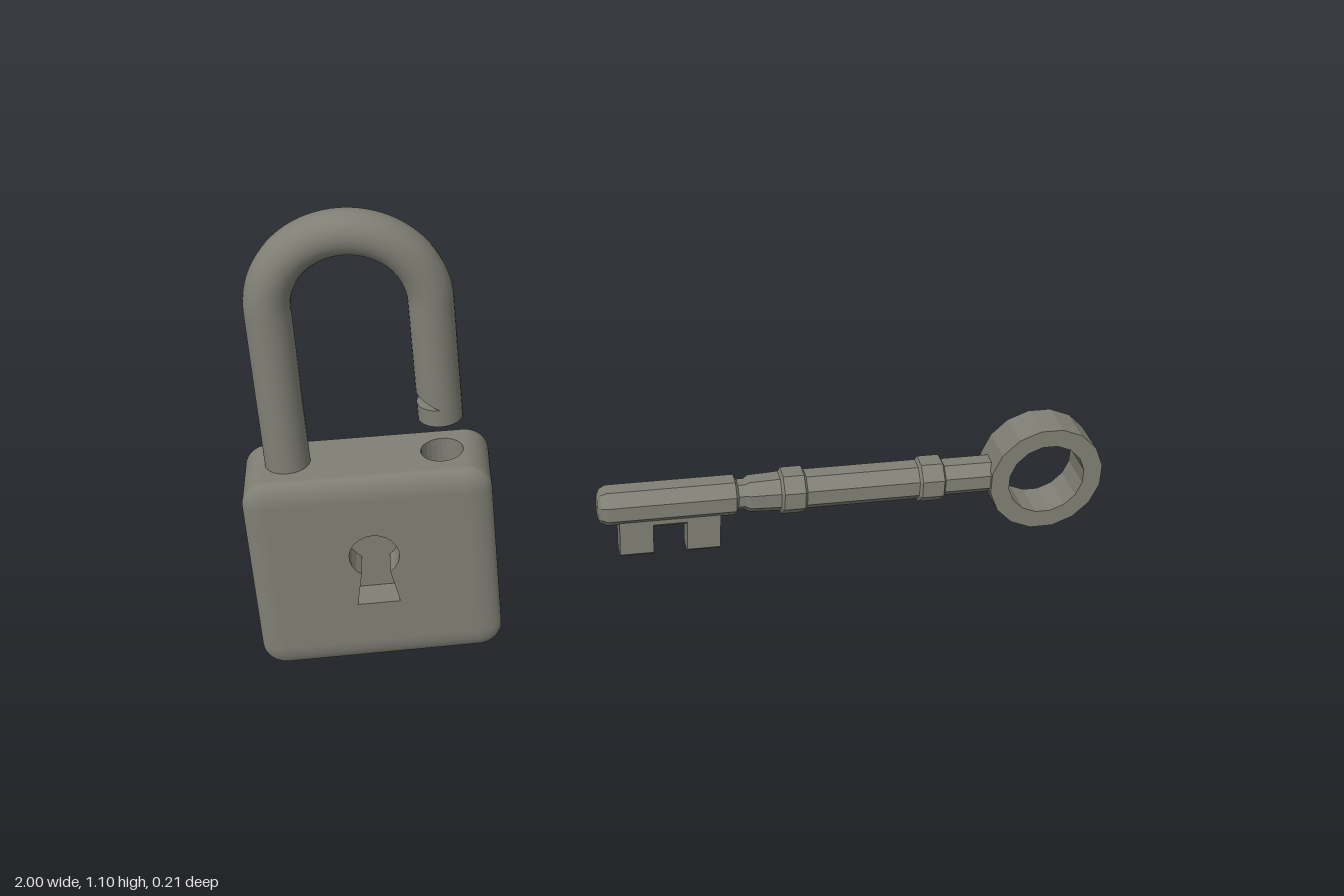
import * as THREE from 'three';
import { RoundedBoxGeometry } from 'three/addons/geometries/RoundedBoxGeometry.js';

const metal = new THREE.MeshStandardMaterial({ color: 0x7f7f75 });
metal.name = 'grey metal';

function add(parent, name, geometry, x = 0, y = 0, z = 0) {
  const mesh = new THREE.Mesh(geometry, metal);
  mesh.name = name;
  mesh.position.set(x, y, z);
  parent.add(mesh);
  return mesh;
}

function flat(geometry) {
  const g = geometry.index ? geometry.toNonIndexed() : geometry;
  g.computeVertexNormals();
  return g;
}

// Rounded shell with its flat top and flat front left open for the pierced panels
function openShell(w, h, d, radius) {
  const box = new RoundedBoxGeometry(w, h, d * 2, 5, radius);
  box.scale(1, 1, 0.5);
  const p = box.attributes.position, n = box.attributes.normal;
  const pos = [], nor = [];
  for (let i = 0; i < p.count; i += 3) {
    const ids = [i, i + 1, i + 2];
    if (ids.every(k => p.getZ(k) > d / 2 - 1e-5)) continue;
    if (ids.every(k => p.getY(k) > h / 2 - 1e-5)) continue;
    for (const k of ids) {
      pos.push(p.getX(k), p.getY(k), p.getZ(k));
      nor.push(n.getX(k), n.getY(k), n.getZ(k));
    }
  }
  const g = new THREE.BufferGeometry();
  g.setAttribute('position', new THREE.Float32BufferAttribute(pos, 3));
  g.setAttribute('normal', new THREE.Float32BufferAttribute(nor, 3));
  return g;
}

// Flat panel with a hole, plus the walls and floor of the recess behind it
function piercedPanel(name, halfW, halfH, outline, depth) {
  const group = new THREE.Group();
  group.name = name;
  const panel = new THREE.Shape([[-1, -1], [1, -1], [1, 1], [-1, 1]]
    .map(([x, y]) => new THREE.Vector2(x * halfW, y * halfH)));
  panel.holes.push(new THREE.Path(outline));
  add(group, name + 'Panel', new THREE.ShapeGeometry(panel));
  const walls = [];
  outline.forEach((a, i) => {
    const b = outline[(i + 1) % outline.length];
    walls.push(a.x, a.y, 0, b.x, b.y, 0, b.x, b.y, -depth);
    walls.push(a.x, a.y, 0, b.x, b.y, -depth, a.x, a.y, -depth);
  });
  const g = new THREE.BufferGeometry();
  g.setAttribute('position', new THREE.Float32BufferAttribute(walls, 3));
  add(group, name + 'Walls', flat(g));
  add(group, name + 'Floor', new THREE.ShapeGeometry(new THREE.Shape(outline)), 0, 0, -depth);
  return group;
}

// Points on an arc, counter-clockwise
function arc(cx, cy, r, from, to, steps) {
  return Array.from({ length: steps + 1 }, (_, i) => {
    const a = from + (to - from) * i / steps;
    return new THREE.Vector2(cx + r * Math.cos(a), cy + r * Math.sin(a));
  });
}

function createPadlock() {
  const lock = new THREE.Group();
  lock.name = 'padlock';
  lock.position.x = -0.725;

  // Body
  const w = 0.55, h = 0.495, d = 0.21, r = 0.056;
  add(lock, 'lockBody', openShell(w, h, d, r), 0, h / 2, 0);

  // Keyhole in the front
  const keyholeOutline = [
    new THREE.Vector2(-0.048, 0.162 - h / 2),
    new THREE.Vector2(0.048, 0.162 - h / 2),
    ...arc(0, 0.292 - h / 2, 0.056, -0.96, Math.PI + 0.96, 18),
  ];
  const keyhole = piercedPanel('keyhole', w / 2 - r, h / 2 - r, keyholeOutline, 0.07);
  keyhole.position.set(0, h / 2, d / 2);
  lock.add(keyhole);

  // Socket for the shackle in the top
  const legX = 0.1725, tube = 0.05;
  const socketOutline = arc(legX - 0.003, 0, 0.048, 0, Math.PI * 2, 24).slice(0, -1);
  const socket = piercedPanel('shackleSocket', w / 2 - r, d / 2 - r / 2, socketOutline, 0.12);
  socket.rotation.x = -Math.PI / 2;
  socket.position.y = h;
  lock.add(socket);

  // Shackle: bow, fixed leg, free leg
  const bowY = 0.8775, notchY = 0.626, endY = 0.585;
  add(lock, 'shackleBow', new THREE.TorusGeometry(legX, tube, 24, 40, Math.PI), 0, bowY, 0);
  const fixedH = bowY - h;
  add(lock, 'fixedLeg', new THREE.CylinderGeometry(tube, tube, fixedH, 24, 1, true),
    -legX, h + fixedH / 2, 0);

  // Free leg, its lower end sloping up on the inner side to form the notch
  const freeH = bowY - notchY;
  const free = new THREE.CylinderGeometry(tube, tube, freeH, 24);
  const p = free.attributes.position;
  for (let i = 0; i < p.count; i++) {
    if (p.getY(i) < 0) p.setY(i, p.getY(i) + Math.max(0, -p.getX(i)) * 0.58);
  }
  add(lock, 'freeLeg', free, legX, notchY + freeH / 2, 0);
  add(lock, 'freeLegEnd', new THREE.CylinderGeometry(tube, tube, notchY - endY, 24),
    legX, (notchY + endY) / 2, 0);
  return lock;
}

function createKey() {
  const key = new THREE.Group();
  key.name = 'key';
  key.position.y = 0.305;

  // Eight-sided shaft with collars: [x, distance from axis to face]
  const profile = [
    [-0.21, 0], [-0.21, 0.026], [-0.203, 0.038], [-0.188, 0.045], [0.115, 0.045],
    [0.122, 0.034], [0.138, 0.034], [0.15, 0.041], [0.222, 0.044],
    [0.228, 0.052], [0.278, 0.052], [0.284, 0.044], [0.555, 0.044],
    [0.561, 0.051], [0.613, 0.051], [0.619, 0.041], [0.735, 0.041], [0.735, 0],
  ].map(([x, r]) => new THREE.Vector2(r / Math.cos(Math.PI / 8), x));
  const shaft = new THREE.LatheGeometry(profile, 8, Math.PI / 8);
  shaft.rotateZ(-Math.PI / 2);
  add(key, 'keyShaft', flat(shaft));

  // Teeth with chamfered lower edges, and the web between them
  const tooth = (name, x0, x1, bottom) => {
    const t = 0.027, c = 0.011;
    const section = new THREE.Shape([
      [-t, -0.03], [-t, bottom + c], [-t + c, bottom], [t - c, bottom], [t, bottom + c], [t, -0.03],
    ].map(([z, y]) => new THREE.Vector2(z, y)));
    const g = new THREE.ExtrudeGeometry(section, { depth: x1 - x0, bevelEnabled: false });
    g.rotateY(Math.PI / 2);
    add(key, name, g, x0, 0, 0);
  };
  tooth('outerTooth', -0.16, -0.08, -0.138);
  tooth('innerTooth', 0, 0.08, -0.138);
  tooth('toothWeb', -0.08, 0, -0.06);

  // Sixteen-sided ring handle
  const step = Math.PI / 16;
  const ring = new THREE.Shape(arc(0, 0, 0.138, step, step + Math.PI * 2, 16).slice(0, -1));
  ring.holes.push(new THREE.Path(arc(0, 0, 0.093, step, step + Math.PI * 2, 16).slice(0, -1)));
  const bow = new THREE.ExtrudeGeometry(ring, { depth: 0.098, bevelEnabled: false });
  add(key, 'keyRing', bow, 0.8645, 0, -0.049);
  return key;
}

export function createModel() {
  const model = new THREE.Group();
  model.name = 'padlockAndKey';
  model.add(createPadlock(), createKey());
  return model;
}
